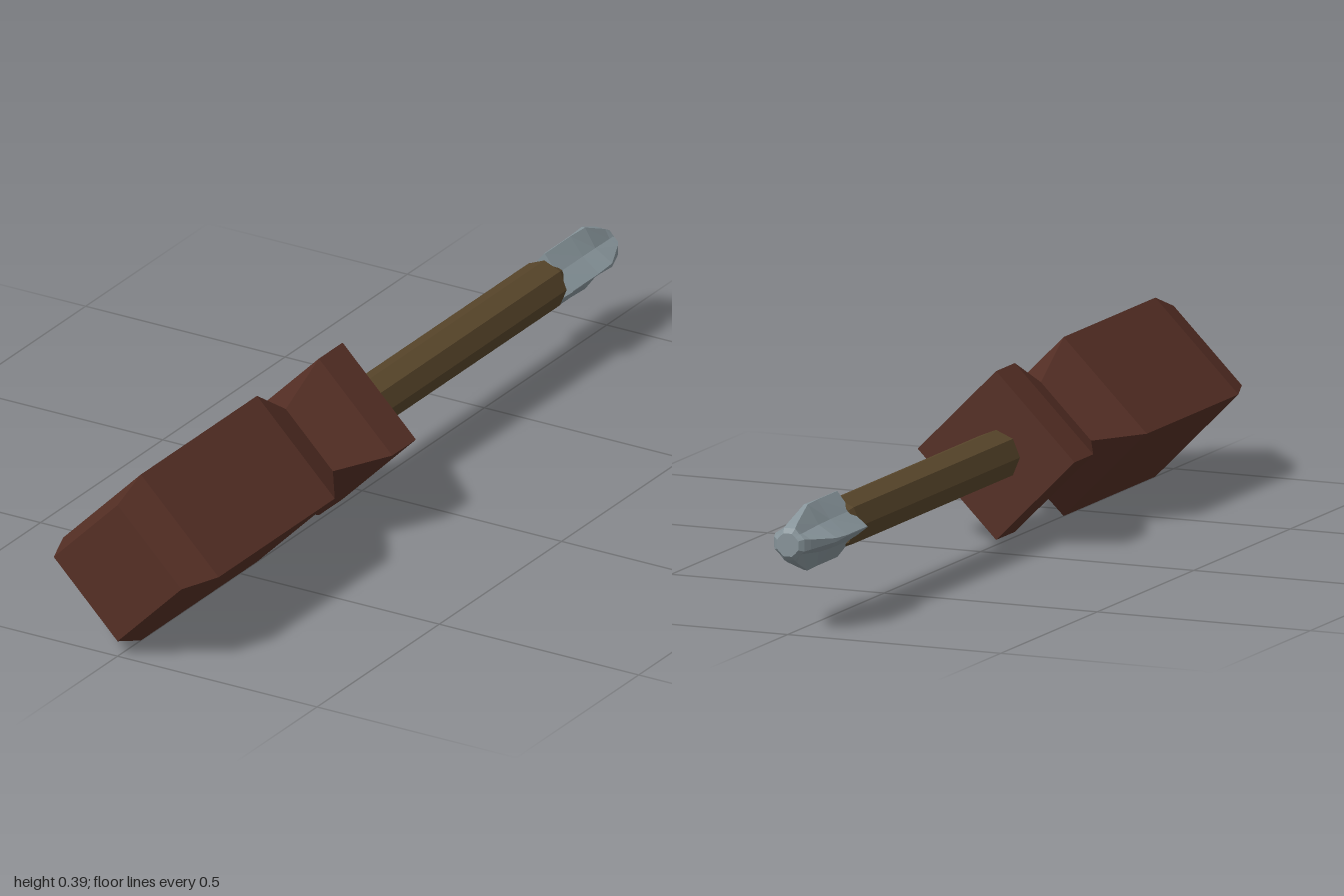
import * as THREE from 'three';

const AXIS_Y = 0.195;

// Faceted turned part lying along z; profile is [z, radius] from back to front
function turned(profile, sides, material, name) {
  const geo = new THREE.LatheGeometry(profile.map(([z, r]) => new THREE.Vector2(r, z)), sides);
  geo.rotateX(Math.PI / 2);
  const mesh = new THREE.Mesh(geo, material);
  mesh.name = name;
  return mesh;
}

// Four-winged bit: each section is [z, wing radius, wing half width, flute radius]
function crossBit(sections) {
  const pos = [], index = [], n = 12;
  for (const [z, r, w, v] of sections) {
    for (let k = 0; k < 4; k++) {
      const a = k * Math.PI / 2, c = Math.cos(a), s = Math.sin(a);
      const d = v * Math.SQRT1_2;
      for (const [x, y] of [[r, -w], [r, w], [d, d]]) pos.push(x * c - y * s, x * s + y * c, z);
    }
  }
  for (let i = 0; i < sections.length - 1; i++) {
    for (let j = 0; j < n; j++) {
      const a = i * n + j, b = i * n + (j + 1) % n;
      index.push(a, a + n, b, b, a + n, b + n);
    }
  }
  const geo = new THREE.BufferGeometry();
  geo.setAttribute('position', new THREE.Float32BufferAttribute(pos, 3));
  geo.setIndex(index);
  geo.computeVertexNormals();
  return geo;
}

export function createModel() {
  const flat = (name, color) => {
    const m = new THREE.MeshStandardMaterial({ color, flatShading: true });
    m.name = name;
    return m;
  };
  const brown = flat('brown handle', 0x552f25);
  const bronze = flat('bronze shaft', 0x57452a);
  const steel = flat('grey steel', 0x87949a);

  const tool = new THREE.Group();
  tool.name = 'screwdriver';

  // Square grip with a pinched neck and collar
  tool.add(turned([
    [0.08, 0], [0.08, 0.184], [0.177, 0.184], [0.312, 0.118],
    [0.43, 0.195], [0.905, 0.195], [1, 0.16], [1, 0],
  ], 4, brown, 'handle'));

  // Octagonal shaft
  tool.add(turned([[-0.76, 0], [-0.76, 0.05], [-0.745, 0.056], [0.09, 0.056]], 8, bronze, 'shaft'));

  // Fluted cross tip with a small blunt nose
  const tip = new THREE.Mesh(crossBit([
    [-0.745, 0, 0, 0],
    [-0.745, 0.072, 0.001, 0.046],
    [-0.85, 0.072, 0.001, 0.045],
    [-0.905, 0.072, 0.004, 0.042],
    [-0.975, 0.043, 0.011, 0.032],
    [-0.99, 0.035, 0.013, 0.033],
    [-1, 0.025, 0.01, 0.025],
    [-1, 0, 0, 0],
  ]), steel);
  tip.name = 'tip';
  tool.add(tip);

  tool.position.y = AXIS_Y;
  const model = new THREE.Group();
  model.add(tool);
  return model;
}
